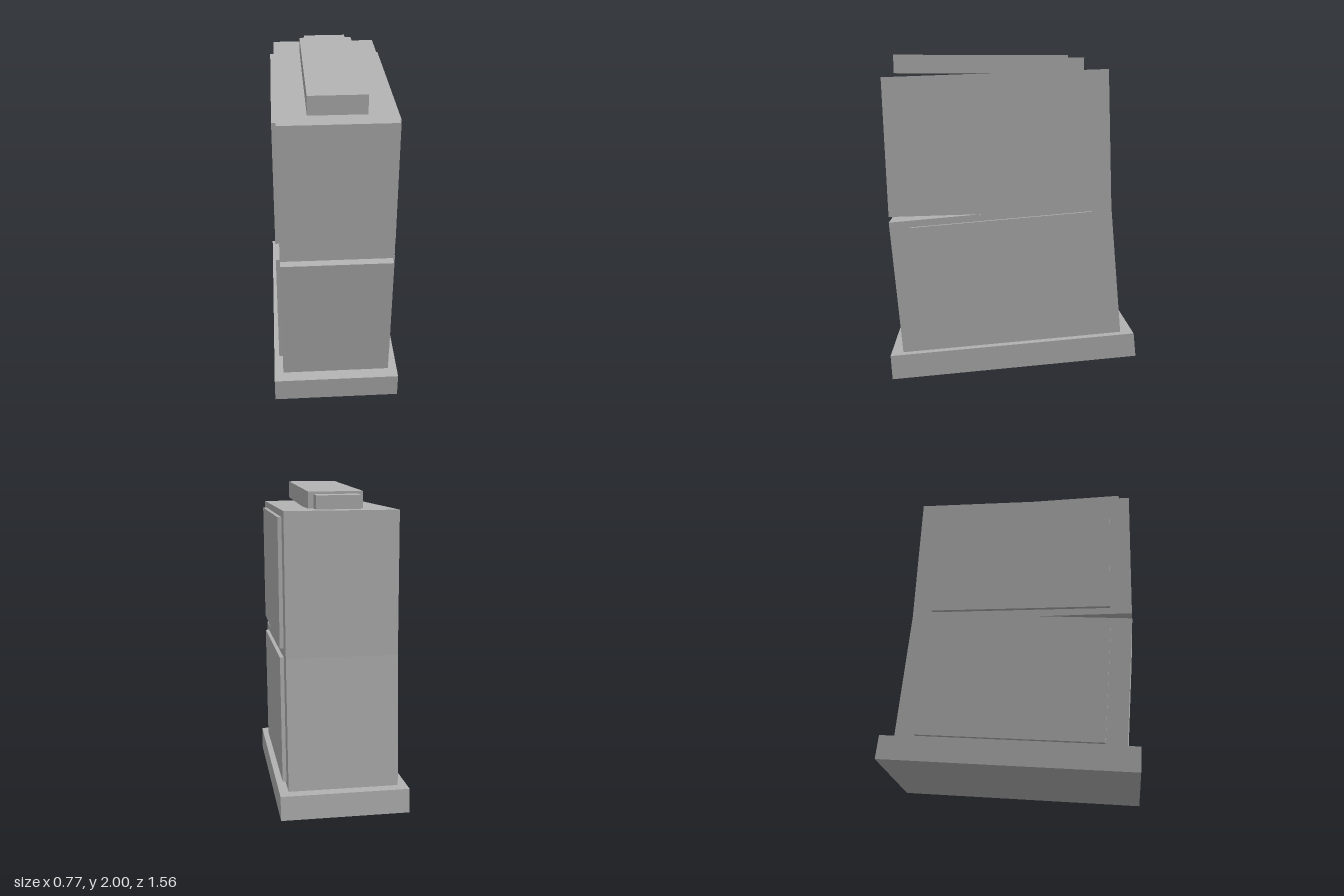
import * as THREE from 'three';

// Slab with a side outline of [z, y] points, spanning x0..x1
function slab(name, points, x0, x1, material) {
  const shape = new THREE.Shape(points.map(([z, y]) => new THREE.Vector2(z, y)));
  const geometry = new THREE.ExtrudeGeometry(shape, { depth: x1 - x0, bevelEnabled: false });
  geometry.rotateY(-Math.PI / 2);
  geometry.translate(x1, 0, 0);
  const mesh = new THREE.Mesh(geometry, material);
  mesh.name = name;
  return mesh;
}

export function createModel() {
  const group = new THREE.Group();
  group.name = 'leaningCabinet';
  const grey = new THREE.MeshStandardMaterial({ color: 0xb4b4b4 });
  grey.name = 'plain grey';

  // Tilted plinth
  group.add(slab('plinth', [[0.74, 0], [0.75, 0.15], [-0.765, 0.28], [-0.78, 0.135]], -0.385, 0.385, grey));

  // Bent body with a wedge-shaped gap at the front
  group.add(slab('body', [
    [0.675, 0.155], [0.75, 0.98], [0.18, 1.03], [0.75, 1.015],
    [0.78, 1.86], [-0.59, 1.91], [-0.62, 1.07], [-0.69, 0.275],
  ], -0.33, 0.33, grey));

  // Raised panels on both sides
  const panels = {
    upperPanel: [[0.65, 1.825], [-0.465, 1.865], [-0.495, 1.1], [0.62, 1.06]],
    lowerPanel: [[0.62, 0.95], [-0.495, 1.045], [-0.563, 0.285], [0.552, 0.19]],
  };
  for (const [name, outline] of Object.entries(panels)) {
    group.add(slab(name + 'Left', outline, 0.33, 0.353, grey));
    group.add(slab(name + 'Right', outline, -0.353, -0.33, grey));
  }

  // Level bar on top with a smaller block behind it
  group.add(slab('topBar', [[0.72, 1.89], [0.72, 2], [-0.36, 2], [-0.36, 1.89]], -0.163, 0.163, grey));
  group.add(slab('topBarEnd', [[-0.36, 1.895], [-0.36, 1.985], [-0.465, 1.985], [-0.465, 1.895]], -0.13, 0.13, grey));

  return group;
}
